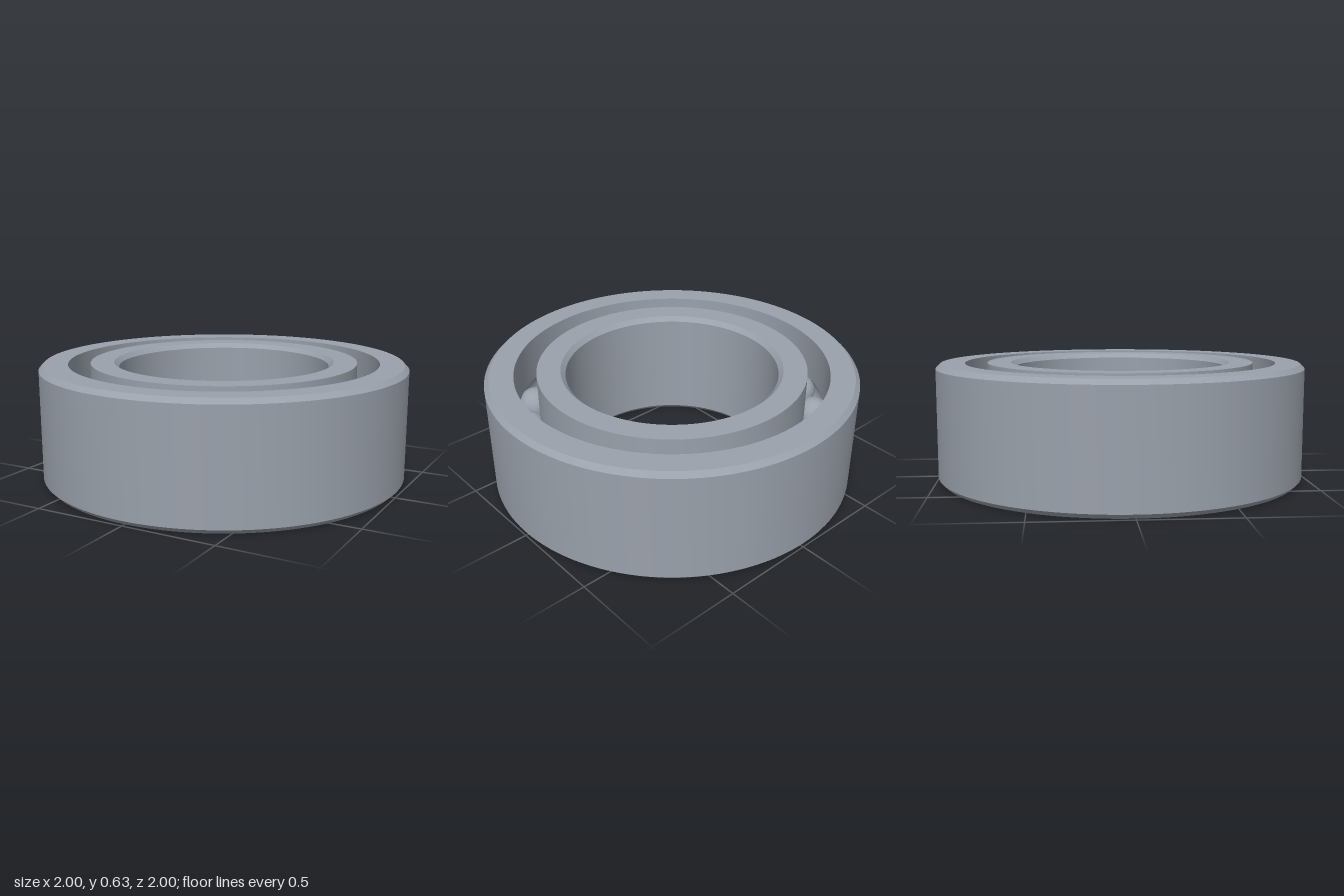
import * as THREE from 'three';
import { toCreasedNormals } from 'three/addons/utils/BufferGeometryUtils.js';

const HEIGHT = 0.635;
const MID = HEIGHT / 2;
const CHAMFER = 0.025;
const PITCH = 0.785; // radius of the circle the balls run on
const BALL = 0.094;
const GROOVE = 0.096;
const BALL_COUNT = 19;

// Arc of the ball raceway: facing 0 cuts into the outer ring, PI into the inner one
function raceway(facing, wallRadius) {
  const half = Math.acos(Math.abs(wallRadius - PITCH) / GROOVE);
  const points = [];
  for (let i = 0; i <= 16; i++) {
    const a = facing + half * (1 - i / 8);
    points.push([PITCH + GROOVE * Math.cos(a), MID + GROOVE * Math.sin(a)]);
  }
  return points;
}

// Closed counterclockwise profile turned around the y axis
function ring(name, profile, material) {
  const points = [...profile, profile[0]].map(([x, y]) => new THREE.Vector2(x, y));
  const geometry = toCreasedNormals(new THREE.LatheGeometry(points, 128), 0.5);
  const mesh = new THREE.Mesh(geometry, material);
  mesh.name = name;
  return mesh;
}

export function createModel() {
  const steel = new THREE.MeshStandardMaterial({ color: 0x9aa1ab });
  steel.name = 'steel';

  const group = new THREE.Group();
  group.name = 'ballBearing';

  // Outer ring, chamfered on its outside edges
  const outerWall = 0.845;
  group.add(ring('outerRing', [
    [1 - CHAMFER, 0], [1, CHAMFER], [1, HEIGHT - CHAMFER], [1 - CHAMFER, HEIGHT],
    [outerWall, HEIGHT], ...raceway(0, outerWall), [outerWall, 0],
  ], steel));

  // Inner ring, chamfered around the bore
  const innerWall = 0.725;
  const bore = 0.573;
  group.add(ring('innerRing', [
    [bore + CHAMFER, 0], [innerWall, 0], ...raceway(Math.PI, innerWall), [innerWall, HEIGHT],
    [bore + CHAMFER, HEIGHT], [bore, HEIGHT - CHAMFER], [bore, CHAMFER],
  ], steel));

  // Balls, evenly spaced in the raceway
  const balls = new THREE.Group();
  balls.name = 'balls';
  const ballGeometry = new THREE.SphereGeometry(BALL, 32, 20);
  for (let i = 0; i < BALL_COUNT; i++) {
    const a = 0.037 + (i / BALL_COUNT) * Math.PI * 2;
    const ball = new THREE.Mesh(ballGeometry, steel);
    ball.name = 'ball';
    ball.position.set(PITCH * Math.sin(a), MID, PITCH * Math.cos(a));
    balls.add(ball);
  }
  group.add(balls);

  return group;
}
